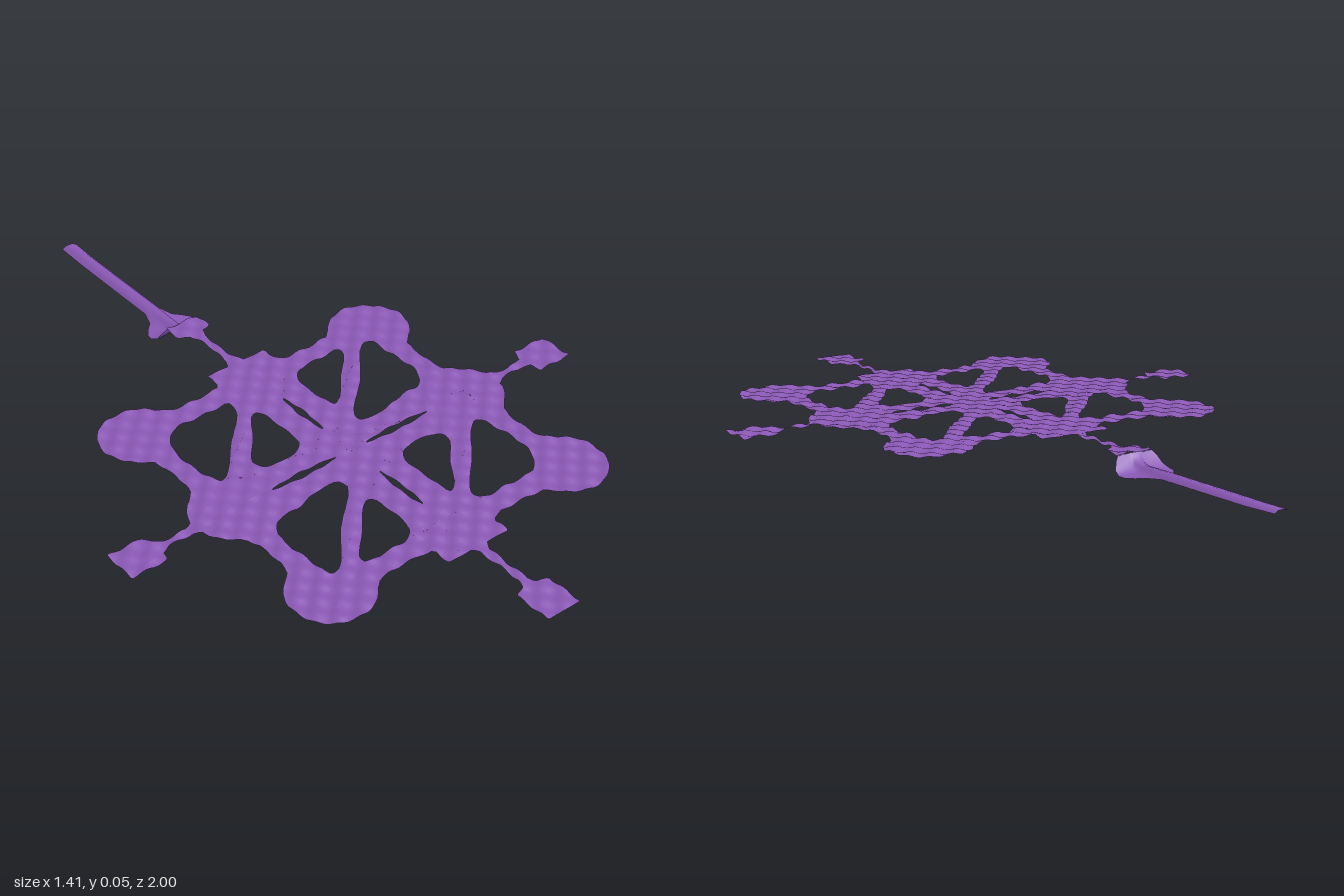
import * as THREE from 'three';
import { mergeVertices } from 'three/addons/utils/BufferGeometryUtils.js';

const CENTER_Z = 0.243;
const LEVEL = 0.043;
const V = (x, y) => new THREE.Vector2(x, y);

// Fine egg-crate ripple over the sheet, flat along both axes
function ripple(x, z) {
  const k = Math.PI / 0.036;
  return LEVEL + 0.004 * Math.sin(k * x) * Math.sin(k * z);
}

// Cut a flat outline into small triangles and raise it into the rippled sheet
function sheet(shape, maxEdge = 0.013) {
  const flat = new THREE.ShapeGeometry(shape, 8);
  const p = flat.attributes.position, idx = flat.index.array;
  const stack = [], out = [];
  for (let i = 0; i < idx.length; i += 3) {
    stack.push([0, 1, 2].map((j) => V(p.getX(idx[i + j]), p.getY(idx[i + j]))));
  }
  while (stack.length) {
    let [a, b, c] = stack.pop();
    const ab = a.distanceTo(b), bc = b.distanceTo(c), ca = c.distanceTo(a);
    if (bc >= ab && bc >= ca) [a, b, c] = [b, c, a];
    else if (ca >= ab && ca >= bc) [a, b, c] = [c, a, b];
    if (a.distanceTo(b) > maxEdge) {
      const m = a.clone().add(b).multiplyScalar(0.5);
      stack.push([a, m, c], [m, b, c]);
    } else {
      for (const q of [a, c, b]) out.push(q.x, ripple(q.x, q.y), q.y);
    }
  }
  const geo = new THREE.BufferGeometry();
  geo.setAttribute('position', new THREE.Float32BufferAttribute(out, 3));
  const welded = mergeVertices(geo, 1e-5);
  welded.computeVertexNormals();
  return welded;
}

function arc(cx, cy, r, from, to, n) {
  const pts = [];
  for (let i = 0; i <= n; i++) {
    const t = THREE.MathUtils.degToRad(from + ((to - from) * i) / n);
    pts.push(V(cx + r * Math.cos(t), cy + r * Math.sin(t)));
  }
  return pts;
}

// Smooth closed loop through a few points, optionally turned half round
function hole(points, sign) {
  const curve = new THREE.CatmullRomCurve3(
    points.map(([x, z]) => new THREE.Vector3(x * sign, z * sign, 0)), true, 'centripetal');
  return new THREE.Path(curve.getPoints(40).slice(0, -1).map((q) => V(q.x, q.y)));
}

function frameShape() {
  // One quarter of the outline: side pad, bar, corner pad, bar, end block
  const quarter = [
    ...arc(0.375, 0, 0.108, 0, 55, 7),
    V(0.412, 0.115), V(0.403, 0.145), V(0.403, 0.225), V(0.412, 0.26),
    ...arc(0.374, 0.373, 0.11, -55, 145, 24),
    V(0.26, 0.415), V(0.22, 0.408), V(0.13, 0.408), V(0.102, 0.416), V(0.095, 0.425),
    V(0.095, 0.465), V(0.091, 0.47),
  ];
  const outline = [];
  for (const [sx, sz] of [[1, 1], [-1, 1], [-1, -1], [1, -1]]) {
    const q = quarter.map((v) => V(v.x * sx, v.y * sz));
    if (sx * sz < 0) q.reverse();
    for (const v of q) {
      if (!outline.length || outline[outline.length - 1].distanceTo(v) > 1e-4) outline.push(v);
    }
  }
  if (outline[0].distanceTo(outline[outline.length - 1]) < 1e-4) outline.pop();
  const shape = new THREE.Shape(outline);

  // Openings beside the diagonal struts, plus slits along the main bars
  const openings = [
    [[-0.345, -0.17], [-0.343, -0.28], [-0.3, -0.338], [-0.2, -0.342], [-0.125, -0.338],
      [-0.125, -0.305], [-0.22, -0.205], [-0.29, -0.125], [-0.325, -0.105]],
    [[-0.088, -0.27], [-0.078, -0.18], [-0.085, -0.1], [-0.13, -0.075], [-0.21, -0.085],
      [-0.22, -0.115], [-0.16, -0.19], [-0.11, -0.26]],
    [[-0.345, 0.15], [-0.343, 0.25], [-0.335, 0.325], [-0.31, 0.325], [-0.21, 0.212],
      [-0.1, 0.105], [-0.105, 0.078], [-0.17, 0.075], [-0.25, 0.095], [-0.31, 0.1]],
    [[-0.09, 0.175], [-0.078, 0.23], [-0.085, 0.315], [-0.115, 0.343], [-0.18, 0.347],
      [-0.245, 0.345], [-0.245, 0.325], [-0.18, 0.257], [-0.115, 0.185]],
    [[-0.25, 0], [-0.15, -0.009], [-0.05, 0], [-0.15, 0.009]],
    [[0, -0.27], [0.008, -0.2], [0, -0.11], [-0.008, -0.2]],
  ];
  for (const o of openings) for (const s of [1, -1]) shape.holes.push(hole(o, s));
  return shape;
}

// Slim neck flaring into a square pad; place(u, v) maps along/across to the sheet
function armShape(a, b, end, place) {
  const side = [[a, 0.026], [a + 0.02, 0.015], [(a + b) / 2, 0.01], [b - 0.03, 0.013],
    [b - 0.008, 0.022], [b, 0.046], [b + 0.004, 0.051], [end - 0.004, 0.051], [end, 0.047]];
  const pts = [...side, ...side.map(([u, w]) => [u, -w]).reverse()];
  return new THREE.Shape(pts.map(([u, w]) => place(u, w)));
}

// Tail strip with a central ridge, rows of [z, half width, crest height, edge height]
function tailGeometry() {
  const rows = [
    [-0.462, 0.051, 0.043, 0.042], [-0.47, 0.062, 0.035, 0.028], [-0.48, 0.071, 0.023, 0.01],
    [-0.5, 0.076, 0.018, 0.001], [-0.52, 0.073, 0.018, 0], [-0.54, 0.058, 0.018, 0.001],
    [-0.56, 0.037, 0.018, 0.003], [-0.6, 0.024, 0.018, 0.006], [-0.9, 0.023, 0.018, 0.007],
    [-1, 0.023, 0.018, 0.011],
  ];
  const pos = [], index = [];
  rows.forEach(([z, w, crest, edge], r) => {
    const foot = Math.min(0.9 * w, 0.022);
    const section = [[-w, 0], [-foot, 0.1], [-0.6 * foot, 0.85], [0, 1],
      [0.6 * foot, 0.85], [foot, 0.1], [w, 0]];
    section.forEach(([x, rise], i) => {
      pos.push(x, edge + (crest - edge) * rise, z);
      if (r && i) {
        const d = r * section.length + i, c = d - section.length;
        index.push(c - 1, c, d, c - 1, d, d - 1);
      }
    });
  });
  const geo = new THREE.BufferGeometry();
  geo.setAttribute('position', new THREE.Float32BufferAttribute(pos, 3));
  geo.setIndex(index);
  geo.computeVertexNormals();
  return geo;
}

export function createModel() {
  const group = new THREE.Group();
  const purple = new THREE.MeshStandardMaterial({ color: 0x8a58b5, side: THREE.DoubleSide });
  purple.name = 'purple';

  const add = (name, geo, z = 0) => {
    const mesh = new THREE.Mesh(geo, purple);
    mesh.name = name;
    mesh.position.z = z;
    group.add(mesh);
  };

  add('frame', sheet(frameShape()), CENTER_Z);
  // Side, front and back arms; placements keep the same winding
  add('leftArm', sheet(armShape(0.48, 0.6, 0.705, (u, w) => V(u, w))), CENTER_Z);
  add('rightArm', sheet(armShape(0.48, 0.6, 0.705, (u, w) => V(-u, -w))), CENTER_Z);
  add('frontArm', sheet(armShape(0.47, 0.65, 0.757, (u, w) => V(-w, u))), CENTER_Z);
  add('backArm', sheet(armShape(0.47, 0.648, 0.707, (u, w) => V(w, -u))), CENTER_Z);
  add('tail', tailGeometry());
  return group;
}
